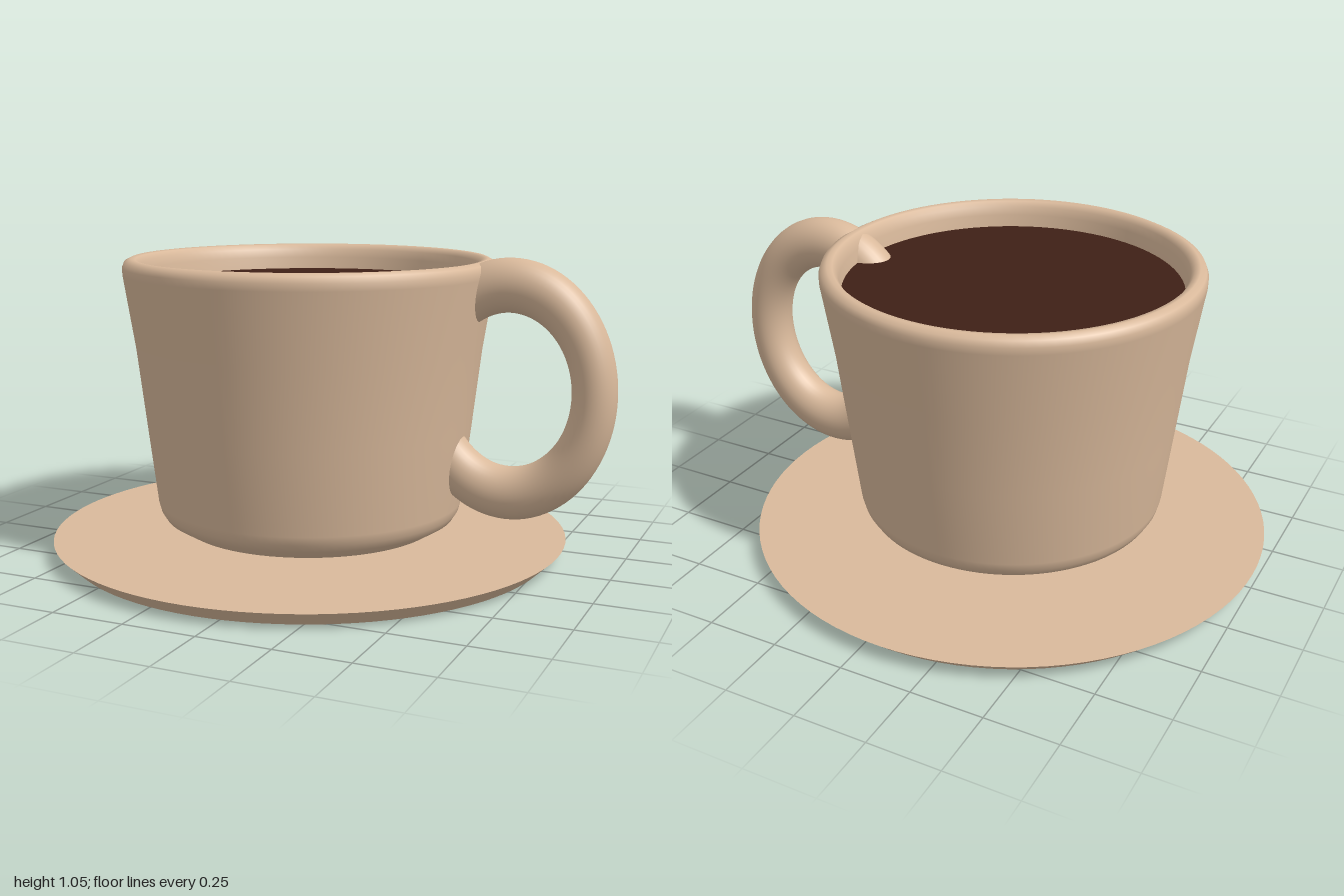
import * as THREE from 'three';

const SEGMENTS = 96;
const CUP_X = -0.09; // shared axis of cup and saucer

export function createModel() {
  const group = new THREE.Group();
  const ceramic = new THREE.MeshStandardMaterial({ color: 0xd9b99b });
  const coffeeMaterial = new THREE.MeshStandardMaterial({ color: 0x3f2016 });

  const add = (name, geometry, material, x, y) => {
    const mesh = new THREE.Mesh(geometry, material);
    mesh.name = name;
    mesh.position.set(x, y, 0);
    group.add(mesh);
    return mesh;
  };

  // Saucer: a flat disc with a bevelled underside
  add('saucer', new THREE.CylinderGeometry(0.91, 0.853, 0.053, SEGMENTS), ceramic, CUP_X, 0.0265);

  // Cup: outer wall from the foot up, over the rounded rim, down the inner wall
  const profile = [
    [0, 0.078], [0.44, 0.078], [0.452, 0.08], [0.515, 0.118], [0.532, 0.145], [0.54, 0.175],
    [0.573, 0.45], [0.605, 0.72], [0.645, 0.975], [0.646, 1.0], [0.638, 1.02], [0.618, 1.03],
    [0.6, 1.027], [0.587, 1.01], [0.58, 0.98], [0.574, 0.93], [0.53, 0.6], [0.47, 0.17], [0, 0.15],
  ].map(([r, y]) => new THREE.Vector2(r, y));
  add('cup', new THREE.LatheGeometry(profile, SEGMENTS), ceramic, CUP_X, 0);

  // Coffee surface just below the rim
  const surface = new THREE.CircleGeometry(0.576, SEGMENTS).rotateX(-Math.PI / 2);
  add('coffee', surface, coffeeMaterial, CUP_X, 0.937);

  // Handle: an upright oval ring whose inner side sinks into the cup
  const ring = new THREE.TorusGeometry(0.31, 0.08, 32, SEGMENTS).scale(0.92, 1.128, 1);
  add('handle', ring, ceramic, 0.64, 0.61);

  return group;
}
